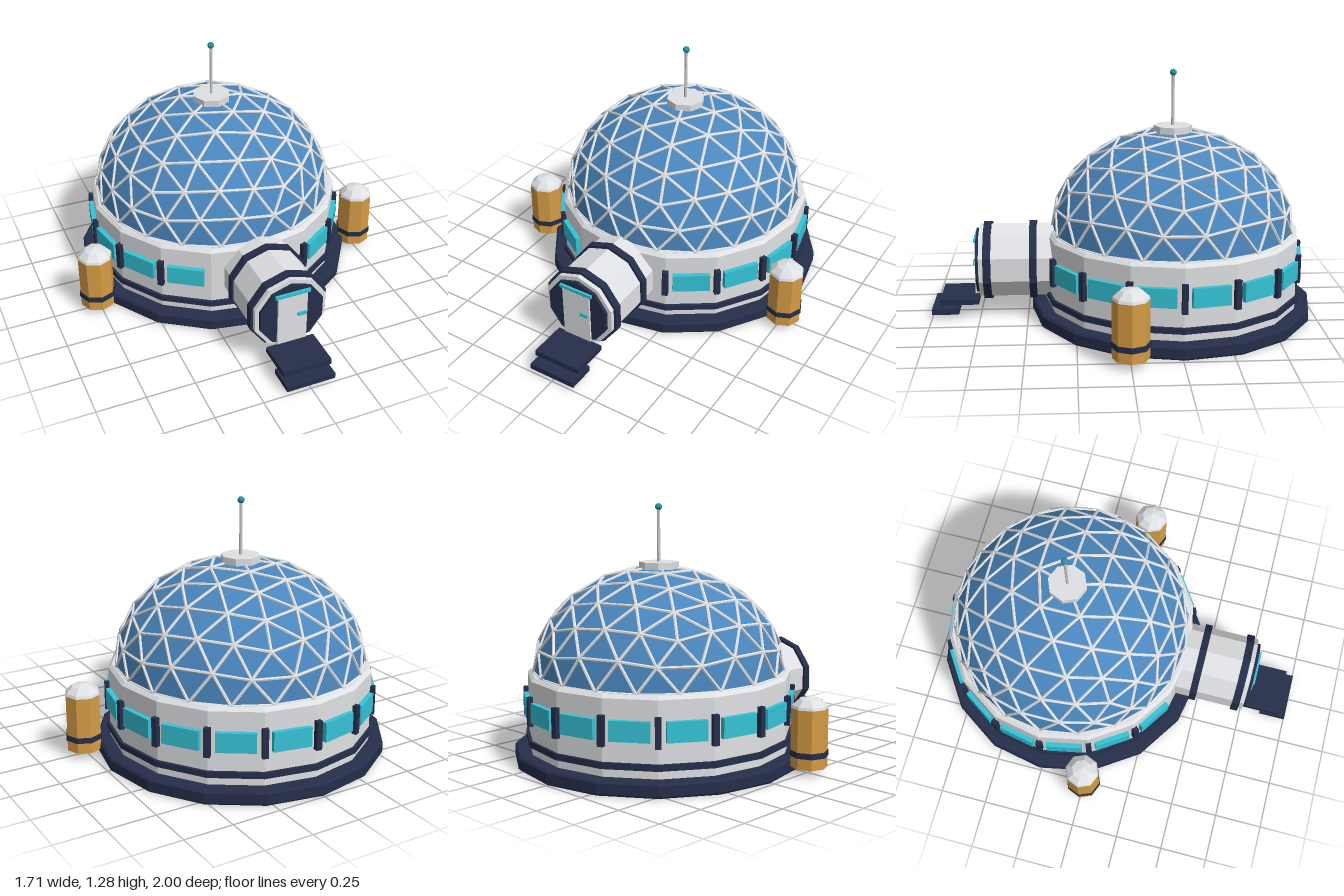
import * as THREE from 'three';
import { mergeGeometries } from 'three/addons/utils/BufferGeometryUtils.js';

const mat = (color) => new THREE.MeshStandardMaterial({ color, flatShading: true });
const WHITE = mat(0xdfe1e4), GREY = mat(0xcccccc), NAVY = mat(0x252e4a), GLASS = mat(0x4a86bd),
  CYAN = mat(0x35c3d6), AMBER = mat(0xd69c45), TEAL = mat(0x2a93a5);

const CZ = -0.26;                       // centre of the round building
const DOME = { r: 0.63, h: 0.517, y: 0.45 };

function add(parent, name, geometry, material, x = 0, y = 0, z = 0) {
  const mesh = new THREE.Mesh(geometry, material);
  mesh.name = name;
  mesh.position.set(x, y, z);
  parent.add(mesh);
  return mesh;
}

const box = (w, h, d) => new THREE.BoxGeometry(w, h, d);
const lathe = (points, sides) =>
  new THREE.LatheGeometry(points.map(([r, y]) => new THREE.Vector2(r, y)), sides);

// Upper half of a twice-subdivided icosahedron, as a list of triangles on the unit sphere
function domeTriangles() {
  const at = (deg, y) => {
    const a = THREE.MathUtils.degToRad(deg), r = Math.sqrt(1 - y * y);
    return new THREE.Vector3(r * Math.cos(a), y, -r * Math.sin(a));
  };
  const top = new THREE.Vector3(0, 1, 0), h = 1 / Math.sqrt(5);
  let tris = [];
  for (let k = 0; k < 5; k++) {
    const u0 = at(72 * k, h), u1 = at(72 * k + 72, h);
    const l0 = at(72 * k + 36, -h), l1 = at(72 * k + 108, -h);
    tris.push([top, u0, u1], [u0, l0, u1], [l0, l1, u1]);
  }
  const mid = (a, b) => a.clone().add(b).normalize();
  for (let i = 0; i < 2; i++) {
    tris = tris.flatMap(([a, b, c]) => {
      const ab = mid(a, b), bc = mid(b, c), ca = mid(c, a);
      return [[a, ab, ca], [ab, b, bc], [ca, bc, c], [ab, bc, ca]];
    });
  }
  return tris.filter((t) => t.every((v) => v.y > -1e-4));
}

function buildDome(group) {
  const tris = domeTriangles();
  const place = (v, s = 1) =>
    new THREE.Vector3(v.x * DOME.r * s, DOME.y + v.y * DOME.h * s, v.z * DOME.r * s);

  // Glass panels
  const panels = new THREE.BufferGeometry().setFromPoints(tris.flat().map((v) => place(v)));
  panels.computeVertexNormals();
  add(group, 'domeGlass', panels, GLASS, 0, 0, CZ);

  // One strut along every panel edge
  const key = (v) => v.toArray().map((n) => Math.round(n * 1000) + 0).join(',');
  const edges = new Map();
  for (const t of tris) {
    for (let i = 0; i < 3; i++) {
      const a = t[i], b = t[(i + 1) % 3];
      edges.set([key(a), key(b)].sort().join('|'), [a, b]);
    }
  }
  const up = new THREE.Vector3(0, 1, 0);
  const struts = [...edges.values()].map(([a, b]) => {
    const p = place(a, 1.003), q = place(b, 1.003), d = q.clone().sub(p);
    const g = new THREE.CylinderGeometry(0.008, 0.008, d.length(), 6);
    g.applyQuaternion(new THREE.Quaternion().setFromUnitVectors(up, d.normalize()));
    const m = p.add(q).multiplyScalar(0.5);
    return g.translate(m.x, m.y, m.z);
  });
  add(group, 'domeStruts', mergeGeometries(struts), WHITE, 0, 0, CZ);

  // Roof cap and antenna
  add(group, 'roofCap', new THREE.CylinderGeometry(0.1, 0.1, 0.035, 8), WHITE, 0, 0.975, CZ);
  add(group, 'antennaMast', new THREE.CylinderGeometry(0.008, 0.008, 0.28, 8), GREY, 0, 1.125, CZ);
  add(group, 'antennaTip', new THREE.IcosahedronGeometry(0.018, 1), TEAL, 0, 1.265, CZ);
}

function buildWall(group) {
  add(group, 'foundation', lathe(
    [[0, 0], [0.73, 0], [0.74, 0.01], [0.74, 0.06], [0.73, 0.07], [0, 0.07]], 16), NAVY, 0, 0, CZ);
  add(group, 'wall', lathe(
    [[0.667, 0.06], [0.667, 0.435], [0.65, 0.452], [0.58, 0.452]], 16), WHITE, 0, 0, CZ);
  add(group, 'wallBand', lathe(
    [[0.66, 0.11], [0.682, 0.11], [0.682, 0.14], [0.66, 0.14]], 16), NAVY, 0, 0, CZ);

  // Windows on the wall faces, posts on its corners; none behind the airlock
  const ring = (name, w, h, d, r, y, material, turn) => {
    const pivot = new THREE.Group();
    pivot.name = name + 'Pivot';
    pivot.position.set(0, y, CZ);
    pivot.rotation.y = turn;
    add(pivot, name, box(w, h, d), material, 0, 0, r);
    group.add(pivot);
  };
  const step = Math.PI / 8;
  for (let k = 0; k < 16; k++) {
    if (k !== 0 && k !== 15) ring('window', 0.19, 0.097, 0.03, 0.664, 0.29, CYAN, (k + 0.5) * step);
    if (k !== 0 && k !== 15) ring('windowPost', 0.03, 0.145, 0.045, 0.667, 0.287, NAVY, k * step);
  }
}

function buildAirlock(group) {
  const airlock = new THREE.Group();
  airlock.name = 'airlock';
  group.add(airlock);
  const y = 0.28;
  // Ten-sided tube along z with a corner at the top
  const tube = (name, r, z0, z1, material) => add(airlock, name,
    new THREE.CylinderGeometry(r, r, z1 - z0, 10).rotateX(-Math.PI / 2), material, 0, y, (z0 + z1) / 2);
  tube('airlockBody', 0.198, 0.25, 0.748, WHITE);
  tube('airlockRearRing', 0.212, 0.45, 0.488, NAVY);
  tube('airlockFrontRing', 0.212, 0.685, 0.725, NAVY);
  tube('airlockFace', 0.175, 0.74, 0.765, NAVY);
  add(airlock, 'door', box(0.156, 0.275, 0.02), WHITE, 0, 0.258, 0.765);
  add(airlock, 'doorLight', box(0.185, 0.018, 0.025), CYAN, 0, 0.408, 0.765);
  add(airlock, 'doorHandle', box(0.046, 0.018, 0.012), CYAN, 0.048, 0.282, 0.778);
  add(airlock, 'upperStep', box(0.256, 0.03, 0.2), NAVY, 0, 0.09, 0.855);
  add(airlock, 'lowerStep', box(0.256, 0.03, 0.14), NAVY, 0, 0.037, 0.93);
}

function buildTank(group, side) {
  const tank = new THREE.Group();
  tank.name = side > 0 ? 'leftTank' : 'rightTank';
  tank.position.set(side * 0.76, 0, 0);
  group.add(tank);
  add(tank, 'tankBody', new THREE.CylinderGeometry(0.09, 0.09, 0.29, 8), AMBER, 0, 0.18, 0);
  add(tank, 'tankBand', new THREE.CylinderGeometry(0.095, 0.095, 0.028, 8), NAVY, 0, 0.104, 0);
  add(tank, 'tankCap', lathe([[0.09, 0.325], [0.085, 0.338], [0.052, 0.368], [0, 0.38]], 8), WHITE);
}

export function createModel() {
  const group = new THREE.Group();
  group.name = 'domeHabitat';
  buildWall(group);
  buildDome(group);
  buildAirlock(group);
  for (const side of [-1, 1]) buildTank(group, side);
  return group;
}
